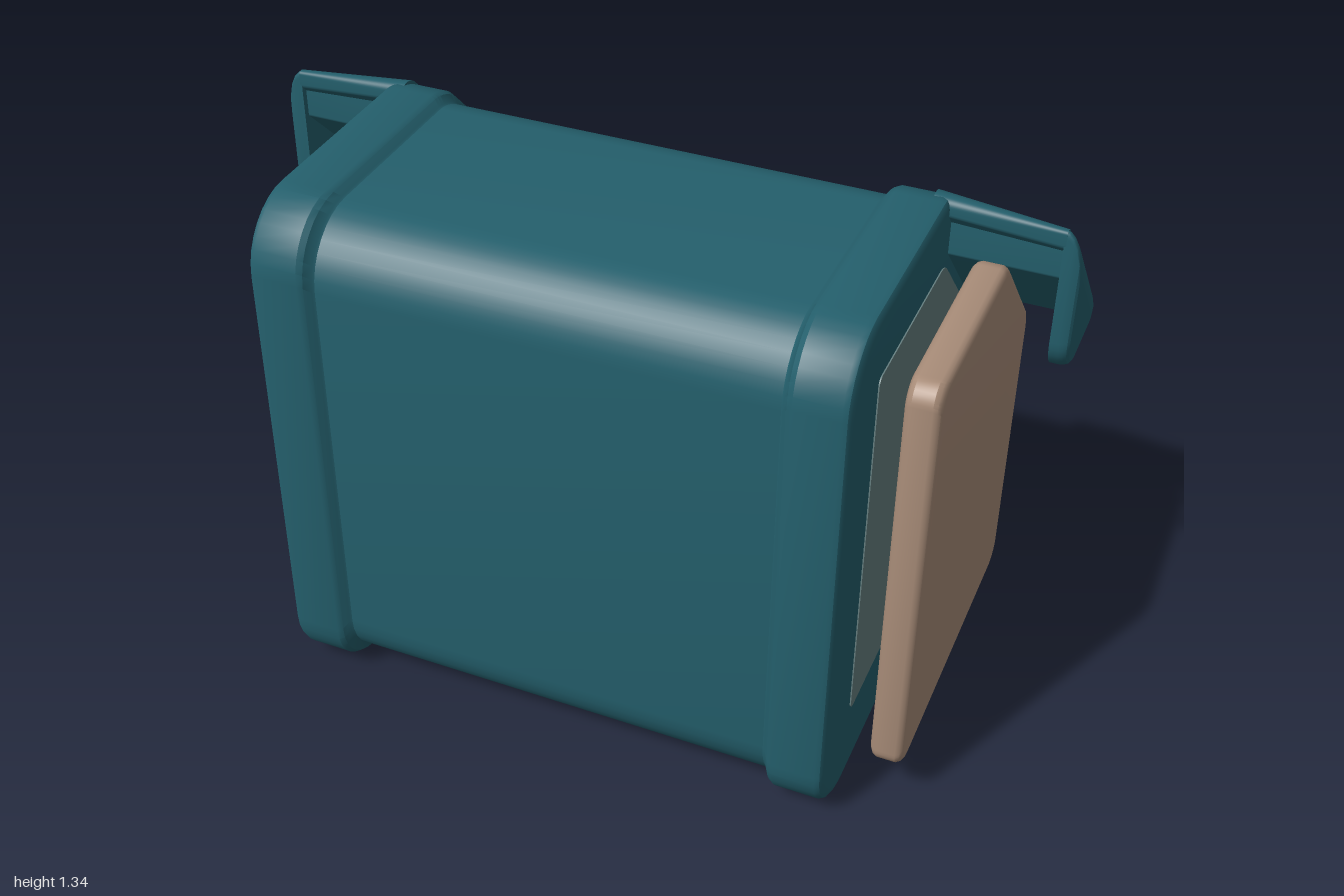
import * as THREE from 'three';
import { toCreasedNormals } from 'three/addons/utils/BufferGeometryUtils.js';

const V = (u, y) => new THREE.Vector2(u, y);

// Polygon in (u = -z, y) with rounded corners; corners are [u, y, radius]
function rounded(corners) {
  const out = [];
  const n = corners.length;
  corners.forEach(([u, y, r], i) => {
    const p = V(u, y);
    const a = corners[(i + n - 1) % n], b = corners[(i + 1) % n];
    const da = V(a[0], a[1]).sub(p).normalize(), db = V(b[0], b[1]).sub(p).normalize();
    const at = (d, k) => p.clone().addScaledVector(d, k);
    const curve = new THREE.CubicBezierCurve(at(da, r), at(da, r * 0.45), at(db, r * 0.45), at(db, r));
    out.push(...curve.getPoints(8));
  });
  return out;
}

// Solid through cross-sections [x, points] along x; side = -1 mirrors it
function loft(sections, side = 1) {
  const pos = [];
  const tri = (a, b, c) => {
    const order = side > 0 ? [a, b, c] : [a, c, b];
    for (const [x, p] of order) pos.push(x * side, p.y, -p.x);
  };
  const n = sections[0][1].length;
  for (let i = 0; i + 1 < sections.length; i++) {
    const [x0, p0] = sections[i], [x1, p1] = sections[i + 1];
    for (let j = 0; j < n; j++) {
      const k = (j + 1) % n;
      tri([x0, p0[j]], [x0, p0[k]], [x1, p1[j]]);
      tri([x0, p0[k]], [x1, p1[k]], [x1, p1[j]]);
    }
  }
  const [xa, pa] = sections[0], [xb, pb] = sections[sections.length - 1];
  for (const [a, b, c] of THREE.ShapeUtils.triangulateShape(pa, []))
    tri([xa, pa[a]], [xa, pa[c]], [xa, pa[b]]);
  for (const [a, b, c] of THREE.ShapeUtils.triangulateShape(pb, []))
    tri([xb, pb[a]], [xb, pb[b]], [xb, pb[c]]);
  const g = new THREE.BufferGeometry();
  g.setAttribute('position', new THREE.Float32BufferAttribute(pos, 3));
  // Creasing merges points closer than 0.01, so do it at a larger scale
  return toCreasedNormals(g.scale(100, 100, 100), 0.5).scale(0.01, 0.01, 0.01);
}

// Rounded rectangle with its upper back corner cut off along y - z = c
function cutRect(w, y0, y1, c, r, rc, inset = 0) {
  w -= inset; y0 += inset; y1 -= inset; c -= inset * Math.SQRT2;
  return rounded([[-w, y0, r], [w, y0, r], [w, c - w, rc], [c - y1, y1, rc], [-w, y1, r]]);
}

// Slanted hood plate, continuing the rim outline shrunk by an inset
function hoodPlate(inset, ci) {
  const u0 = 0.115 + inset / 2, y0 = 0.91 + inset / 2;
  const w = 0.545 - inset, top = 1.34 - inset, c = 1.5 - inset * Math.SQRT2;
  const r = 0.45 * (c - w - y0);
  return rounded([[ci - y0, y0, 0.006], [w, y0, r], [w, c - w, r],
    [c - top, top, r], [u0, top, r], [u0, ci - u0, 0.006]]);
}

// Slab between the planes y - z = 1.33 and y - z = c
const lining = (c) => rounded([[0.385, 0.945, 0.004], [c - 0.945, 0.945, 0.004],
  [0.145, c - 0.145, 0.004], [0.145, 1.185, 0.004]]);

export function createModel() {
  const teal = new THREE.MeshStandardMaterial({ color: 0x245f6c });
  teal.name = 'teal shell';
  const tan = new THREE.MeshStandardMaterial({ color: 0xa98d79 });
  tan.name = 'tan panel';
  const grey = new THREE.MeshStandardMaterial({ color: 0x667f80 });
  grey.name = 'grey pane';

  const model = new THREE.Group();
  model.name = 'case';
  const add = (name, geometry, material) => {
    const m = new THREE.Mesh(geometry, material);
    m.name = name;
    model.add(m);
  };

  // Body with a raised rim at each end
  const half = [[0.7, 0.022], [0.698, 0.012], [0.692, 0.004], [0.68, 0], [0.575, 0],
    [0.562, 0.006], [0.55, 0.022], [0.545, 0.025]];
  const steps = [...half.map(([x, i]) => [-x, i]), ...half.reverse()];
  add('body', loft(steps.map(([x, i]) => [x, cutRect(0.545, 0, 1.34, 1.5, 0.16, 0.06, i)])), teal);

  // End panes; the left one is hidden behind the loose panel
  const rightPane = cutRect(0.39, 0.16, 1.18, 1.29, 0.02, 0.03);
  add('rightPane', loft([[0.698, rightPane], [0.703, rightPane]], -1), grey);
  const leftPane = cutRect(0.36, 0.22, 1.17, 1.29, 0.02, 0.03);
  add('leftPane', loft([[0.698, leftPane], [0.703, leftPane]]), grey);

  // Hoods: outer plate, thicker inner lining and closing end wall
  const wall = [[0.955, 1.456, 0.002], [0.965, 1.452, 0.002], [0.976, 1.44, 0.002],
    [0.986, 1.421, 0.003], [0.995, 1.39, 0.006], [1, 1.35, 0.012]];
  for (const side of [1, -1]) {
    const label = side > 0 ? 'left' : 'right';
    add(label + 'HoodPlate', loft([[0.66, hoodPlate(0, 1.415)], [0.96, hoodPlate(0.028, 1.4)]], side), teal);
    add(label + 'HoodLining', loft([[0.68, lining(1.44)], [0.965, lining(1.42)]], side), teal);
    add(label + 'HoodEnd', loft(wall.map(([x, c, i]) => {
      const u0 = 0.127 + i, y0 = 0.922 + i;
      return [x, rounded([[u0, y0, 0.1], [c - y0, y0, 0.03], [u0, c - u0, 0.03]])];
    }), side), teal);
  }

  // Loose end panel standing off one side
  const panel = [[0.77, 0.02], [0.772, 0.011], [0.778, 0.004], [0.787, 0],
    [0.833, 0], [0.842, 0.004], [0.848, 0.011], [0.85, 0.02]];
  add('endPanel', loft(panel.map(([x, i]) =>
    [x, cutRect(0.422, 0.13, 1.217, 1.325, 0.05, 0.03, i)])), tan);

  return model;
}
